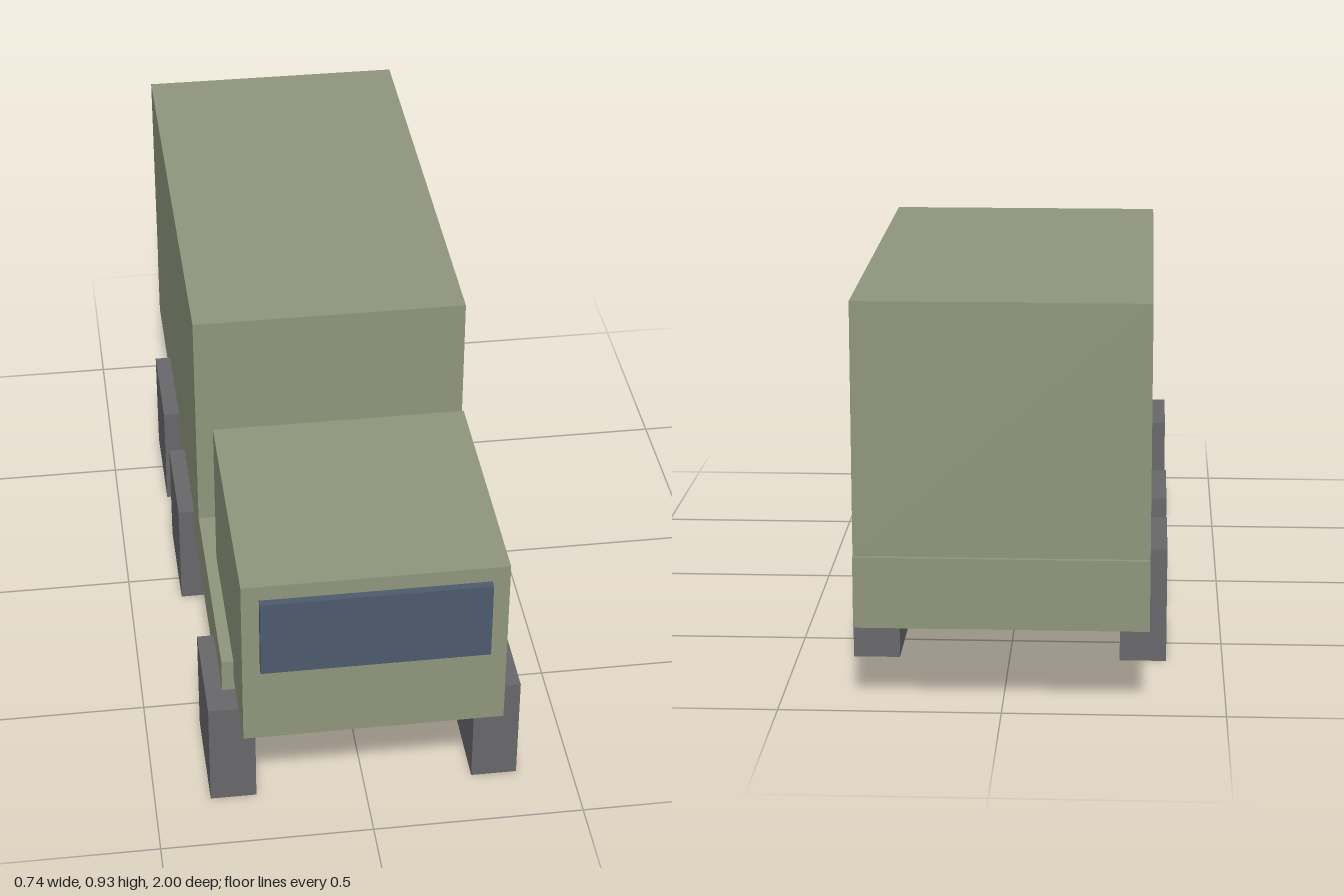
import * as THREE from 'three';

const paint = new THREE.MeshStandardMaterial({ color: 0x8f957c });
const rubber = new THREE.MeshStandardMaterial({ color: 0x68686a });
const glass = new THREE.MeshStandardMaterial({ color: 0x4d5b6c });

// Box given by its half width, its y range and its z range
function block(name, material, halfWidth, [y0, y1], [z0, z1]) {
  const geometry = new THREE.BoxGeometry(halfWidth * 2, y1 - y0, z1 - z0);
  const mesh = new THREE.Mesh(geometry, material);
  mesh.name = name;
  mesh.position.set(0, (y0 + y1) / 2, (z0 + z1) / 2);
  return mesh;
}

export function createModel() {
  const truck = new THREE.Group();
  truck.name = 'truck';

  // Body
  truck.add(
    block('chassis', paint, 0.328, [0.195, 0.357], [-1, 0.775]),
    block('cargoBox', paint, 0.328, [0.357, 0.93], [-0.99, 0.217]),
    block('cab', paint, 0.3, [0.302, 0.738], [0.38, 0.982]),
    block('windscreen', glass, 0.26, [0.505, 0.7], [0.965, 1])
  );

  // Three axles of block wheels, mirrored left and right
  const axles = { front: 0.71, middle: -0.058, rear: -0.494 };
  for (const [axle, z] of Object.entries(axles)) {
    for (const side of [1, -1]) {
      const name = axle + (side > 0 ? 'Left' : 'Right') + 'Wheel';
      const wheel = block(name, rubber, 0.0545, [0, 0.273], [z - 0.1365, z + 0.1365]);
      wheel.position.x = side * 0.3135;
      truck.add(wheel);
    }
  }
  return truck;
}
